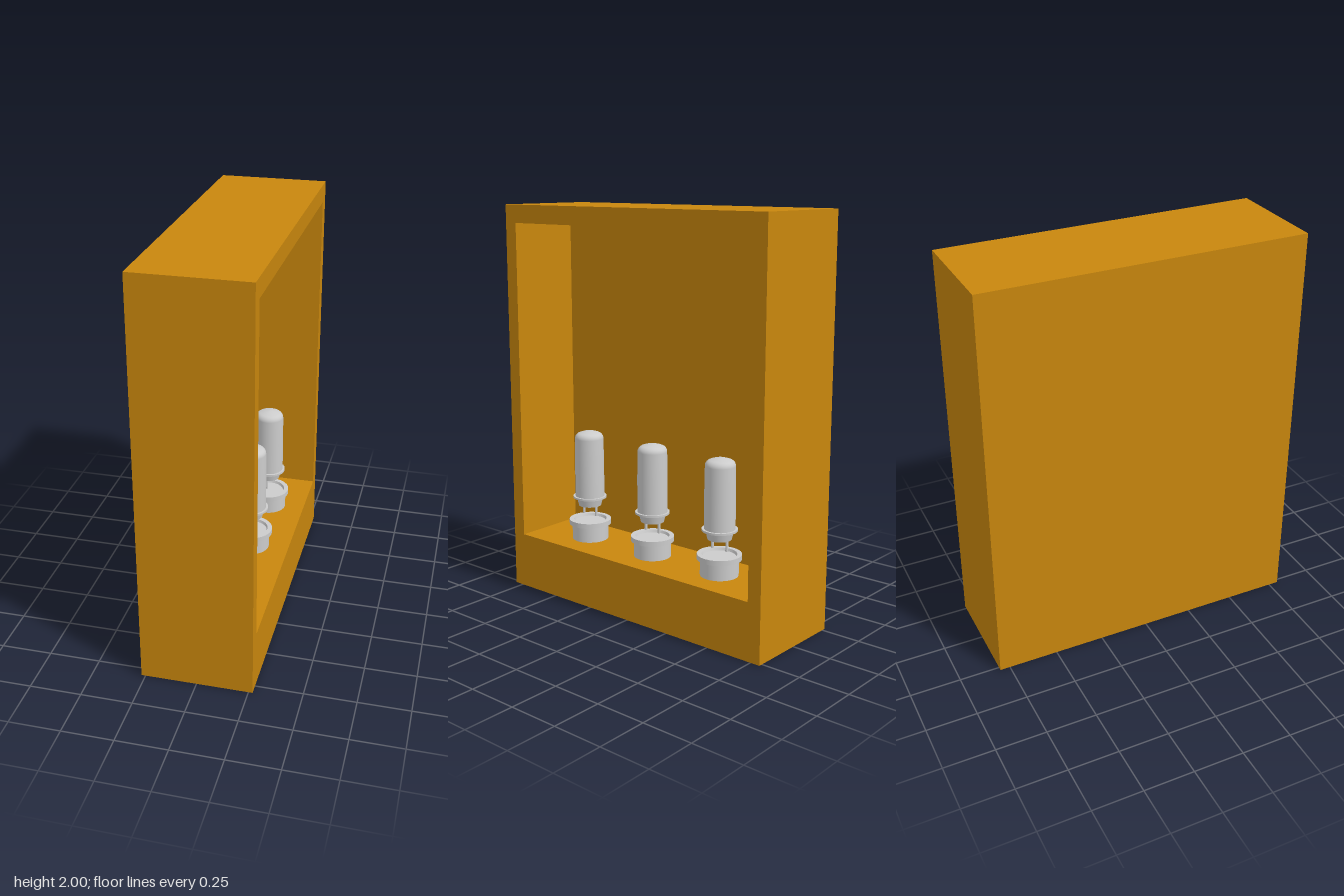
import * as THREE from 'three';

const grey = new THREE.MeshStandardMaterial({ color: 0xcccccc, side: THREE.DoubleSide });
const amber = new THREE.MeshStandardMaterial({ color: 0xc8860d });

function add(parent, name, geometry, material, x = 0, y = 0, z = 0) {
  const mesh = new THREE.Mesh(geometry, material);
  mesh.name = name;
  mesh.position.set(x, y, z);
  parent.add(mesh);
  return mesh;
}

const rect = (Type, x0, y0, x1, y1) =>
  new Type([[x0, y0], [x1, y0], [x1, y1], [x0, y1]].map(([x, y]) => new THREE.Vector2(x, y)));

// Lathe with hard edges: each list of [radius, y] points is one smooth section
function turned(parent, name, sections) {
  const group = new THREE.Group();
  group.name = name;
  sections.forEach((pts, i) => add(group, `${name}Section${i + 1}`,
    new THREE.LatheGeometry(pts.map(([r, y]) => new THREE.Vector2(r, y)), 32), grey));
  parent.add(group);
}

// Straight-sided profile: every segment becomes its own hard-edged section
const hard = (pts) => pts.slice(1).map((p, i) => [pts[i], p]);

// Lamp hovering above its socket, y measured from the cabinet floor
function createLamp() {
  const lamp = new THREE.Group();
  lamp.name = 'lamp';

  // Socket with a wider rim and a shallow dished top
  turned(lamp, 'socket', hard([
    [0, 0], [0.093, 0], [0.093, 0.08], [0.108, 0.08], [0.108, 0.105],
    [0.085, 0.105], [0.08, 0.092], [0, 0.092],
  ]));

  // Two contact pins
  for (const side of [-1, 1]) {
    add(lamp, 'pin', new THREE.CylinderGeometry(0.007, 0.007, 0.06, 12), grey, 0, 0.155, side * 0.043);
  }

  // Tapered plug and flange
  turned(lamp, 'plug', hard([
    [0, 0.178], [0.058, 0.178], [0.068, 0.22], [0.086, 0.22], [0.086, 0.23], [0.074, 0.23],
  ]));

  // Glass body with a rounded shoulder and nearly flat crown
  const glass = [[0.075, 0.23], [0.075, 0.4], [0.073, 0.535]];
  for (let i = 1; i <= 6; i++) {
    const a = (i / 6) * Math.PI * 0.42;
    glass.push([0.043 + 0.03 * Math.cos(a), 0.535 + 0.03 * Math.sin(a)]);
  }
  glass.push([0.025, 0.572], [0, 0.574]);
  turned(lamp, 'glass', [glass]);
  return lamp;
}

export function createModel() {
  const model = new THREE.Group();
  model.name = 'lampCabinet';

  const halfWidth = 0.27, backInner = -0.115, floorY = 0.285;

  // Open frame, extruded along the width and facing the model's left
  const outline = rect(THREE.Shape, -0.8, 0, 0.8, 2);
  outline.holes.push(rect(THREE.Path, -0.73, floorY, 0.73, 1.91));
  const frame = new THREE.ExtrudeGeometry(outline, { depth: halfWidth - backInner, bevelEnabled: false });
  add(model, 'cabinetFrame', frame, amber, backInner).rotation.y = Math.PI / 2;

  // Solid back
  const backDepth = backInner + halfWidth;
  add(model, 'cabinetBack', new THREE.BoxGeometry(backDepth, 2, 1.6), amber, -halfWidth + backDepth / 2, 1, 0);

  // Row of lamps on the cabinet floor
  for (const z of [0.43, 0, -0.42]) {
    const lamp = createLamp();
    lamp.position.set(0.075, floorY, z);
    model.add(lamp);
  }
  return model;
}
